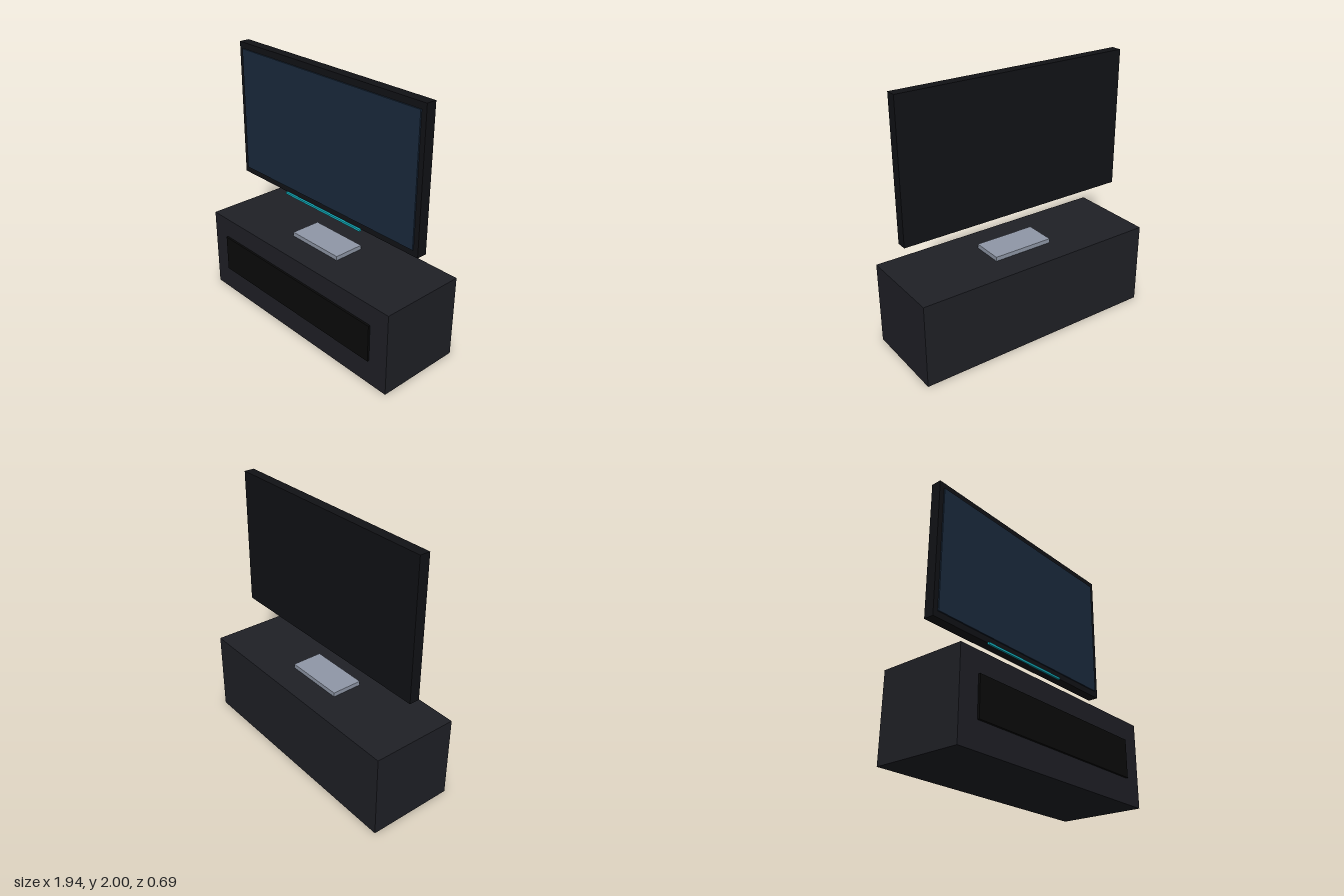
import * as THREE from 'three';

// Box given by its width and its y and z extents, centred on x = 0
function slab(name, color, width, [y0, y1], [z0, z1]) {
  const mesh = new THREE.Mesh(
    new THREE.BoxGeometry(width, y1 - y0, z1 - z0),
    new THREE.MeshStandardMaterial({ color })
  );
  mesh.name = name;
  mesh.position.set(0, (y0 + y1) / 2, (z0 + z1) / 2);
  return mesh;
}

export function createModel() {
  const model = new THREE.Group();
  model.name = 'televisionOnCabinet';

  // Low cabinet with a dark front panel and a stand plate on top
  const cabinet = new THREE.Group();
  cabinet.name = 'cabinet';
  cabinet.add(
    slab('cabinetBody', 0x1f2026, 1.936, [0, 0.645], [-0.347, 0.331]),
    slab('frontPanel', 0x0a0a0a, 1.613, [0.195, 0.487], [0.315, 0.347]),
    slab('standPlate', 0x9098a8, 0.484, [0.645, 0.678], [-0.129, 0.113])
  );

  // Flat television floating above the cabinet
  const television = new THREE.Group();
  television.name = 'television';
  television.add(
    slab('casing', 0x111216, 1.853, [0.937, 2], [-0.048, 0.032]),
    slab('screen', 0x1a2a3d, 1.774, [0.985, 1.952], [0.026, 0.042]),
    slab('lightStrip', 0x12b5c4, 0.806, [0.924, 0.94], [0.033, 0.049])
  );

  model.add(cabinet, television);
  return model;
}
